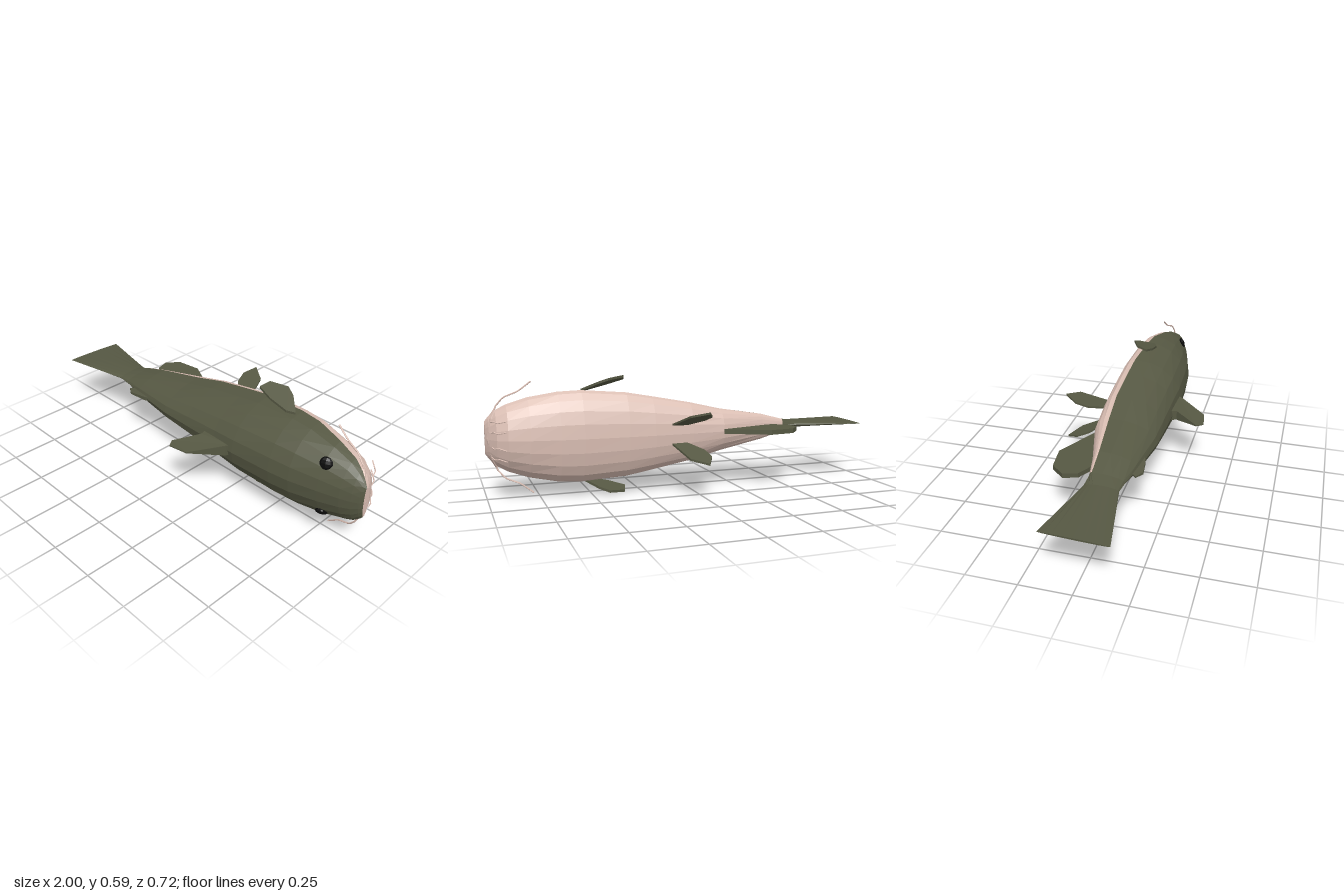
import * as THREE from 'three';

const mat = (name, color) => {
  const m = new THREE.MeshStandardMaterial({ color, flatShading: true });
  m.name = name;
  return m;
};

// Cross-sections along the fish: x, half width, back z, widest z, belly z
const SECTIONS = [
  [-0.99, 0.004, 0.172, 0.01, -0.15],
  [-0.62, 0.018, 0.1, 0.0, -0.07],
  [-0.55, 0.034, 0.108, -0.05, -0.065],
  [-0.42, 0.068, 0.135, -0.055, -0.09],
  [-0.17, 0.11, 0.17, -0.08, -0.16],
  [0.0, 0.15, 0.176, -0.09, -0.17],
  [0.2, 0.187, 0.181, -0.085, -0.175],
  [0.33, 0.21, 0.186, -0.08, -0.173],
  [0.55, 0.226, 0.175, -0.06, -0.165],
  [0.66, 0.221, 0.163, -0.05, -0.155],
  [0.8, 0.196, 0.13, -0.02, -0.132],
  [0.9, 0.163, 0.103, 0.0, -0.108],
  [0.95, 0.135, 0.085, 0.02, -0.075],
  [0.982, 0.102, 0.068, 0.035, -0.025],
  [0.998, 0.08, 0.056, 0.044, 0.015],
];
const SIDES = 20;

function ringPoint([x, w, top, wide, bot], i) {
  const a = (i / SIDES) * Math.PI * 2;
  const c = Math.cos(a);
  const z = wide + c * (c > 0 ? top - wide : wide - bot);
  // the tail edge leans back slightly
  return [x < -0.9 ? x - z * 0.05 : x, w * Math.sin(a), z];
}

function geometryFrom(positions) {
  const g = new THREE.BufferGeometry();
  g.setAttribute('position', new THREE.Float32BufferAttribute(positions, 3));
  g.computeVertexNormals();
  return g;
}

// Loft the sections; the lower half ahead of the tail becomes the belly
function buildBody() {
  const back = [], belly = [];
  for (let s = 0; s < SECTIONS.length - 1; s++) {
    for (let i = 0; i < SIDES; i++) {
      const lower = i >= SIDES / 4 && i < (SIDES * 3) / 4;
      const out = lower && s >= 2 ? belly : back;
      const a = ringPoint(SECTIONS[s], i), b = ringPoint(SECTIONS[s + 1], i);
      const c = ringPoint(SECTIONS[s + 1], i + 1), d = ringPoint(SECTIONS[s], i + 1);
      out.push(...a, ...b, ...c, ...a, ...c, ...d);
    }
  }
  const nose = SECTIONS[SECTIONS.length - 1], tail = SECTIONS[0];
  for (let i = 0; i < SIDES; i++) {
    belly.push(nose[0], 0, nose[3], ...ringPoint(nose, i + 1), ...ringPoint(nose, i));
    back.push(tail[0], 0, tail[3], ...ringPoint(tail, i), ...ringPoint(tail, i + 1));
  }
  return { back: geometryFrom(back), belly: geometryFrom(belly) };
}

// Fin plate outlined in x and z; yAt places it sideways, half gives its half thickness
function finGeometry(outline, yAt, half) {
  const shape = new THREE.Shape(outline.map(([x, z]) => new THREE.Vector2(x, z)));
  const g = new THREE.ExtrudeGeometry(shape, { depth: 2, bevelEnabled: false });
  const p = g.attributes.position;
  for (let i = 0; i < p.count; i++) {
    const x = p.getX(i), z = p.getY(i), side = p.getZ(i) - 1;
    p.setXYZ(i, x, yAt(x, z) - side * half(x, z), z);
  }
  g.computeVertexNormals();
  return g;
}

function strand(points, radius) {
  const path = new THREE.CurvePath();
  const v = points.map((p) => new THREE.Vector3(...p));
  for (let i = 0; i < v.length - 1; i++) path.add(new THREE.LineCurve3(v[i], v[i + 1]));
  return new THREE.TubeGeometry(path, 12, radius, 5, false);
}

export function createModel() {
  const skin = mat('olive skin', 0x565843);
  const pale = mat('pale belly', 0xdcc0b5);
  const black = mat('eye black', 0x0a0a0a);

  const model = new THREE.Group();
  model.name = 'fish';
  const fish = new THREE.Group();
  fish.name = 'fishBody';
  fish.position.y = 0.306;
  model.add(fish);
  const add = (name, geometry, material) => {
    const m = new THREE.Mesh(geometry, material);
    m.name = name;
    fish.add(m);
    return m;
  };

  const body = buildBody();
  add('backAndTail', body.back, skin);
  add('belly', body.belly, pale);

  // Fins on the centre line
  const middle = () => 0;
  add('dorsalFin', finGeometry(
    [[0.31, 0.17], [0.3, 0.195], [0.18, 0.34], [0.08, 0.356], [0.055, 0.32], [0.14, 0.2], [0.13, 0.16]],
    middle, (x, z) => THREE.MathUtils.clamp(0.028 - (z - 0.19) * 0.2, 0.003, 0.028)), skin);
  add('adiposeFin', finGeometry(
    [[-0.3, 0.13], [-0.35, 0.153], [-0.45, 0.167], [-0.49, 0.14], [-0.46, 0.11]],
    middle, (x) => 0.004 + (x + 0.49) * 0.045), skin);
  add('analFin', finGeometry(
    [[-0.17, -0.14], [-0.17, -0.16], [-0.38, -0.272], [-0.51, -0.255], [-0.565, -0.19],
      [-0.545, -0.12], [-0.46, -0.07]],
    middle, () => 0.012), skin);

  // Paired parts, mirrored across the centre line
  for (const s of [1, -1]) {
    const side = s > 0 ? 'upper' : 'lower';
    add(side + 'PelvicFin', finGeometry(
      [[0.12, -0.15], [0.11, -0.18], [0.07, -0.31], [-0.01, -0.362], [-0.045, -0.3], [-0.03, -0.24], [0.05, -0.15]],
      (x, z) => s * (0.05 + (-0.17 - z) * 0.385), () => 0.005), skin);
    add(side + 'PectoralFin', finGeometry(
      [[0.54, -0.02], [0.47, -0.085], [0.42, -0.107], [0.335, -0.07], [0.32, -0.015], [0.4, 0.0], [0.5, 0.0]],
      (x, z) => s * (0.222 + (0.54 - x) * 0.25 + (-0.02 - z) * 0.3), () => 0.006), skin);

    const eye = add(side + 'Eye', new THREE.SphereGeometry(0.031, 8, 6), black);
    eye.scale.set(1, 1, 0.45);
    eye.position.set(0.808, s * 0.134, 0.088);
    eye.lookAt(eye.position.x + 0.25, eye.position.y + s * 0.57, eye.position.z + 0.8);

    add(side + 'LongBarbel', strand(
      [[0.96, s * 0.12, 0.01], [0.945, s * 0.155, 0.012], [0.91, s * 0.197, 0.003], [0.84, s * 0.225, -0.012],
        [0.78, s * 0.272, -0.022]], 0.004), pale);
    for (const y of [0.034, 0.085]) {
      add(side + 'ChinBarbel', strand(
        [[0.972, s * y, -0.035], [0.962, s * (y + 0.006), -0.07], [0.945, s * y, -0.09],
          [0.91, s * (y + 0.01), -0.122]], 0.003), pale);
    }
  }

  // Lips around the mouth
  const lip = (name, x, z) => add(name, strand(
    [[0.945, -0.136, 0.008], [x - 0.015, -0.09, z], [x, 0, z], [x - 0.015, 0.09, z], [0.945, 0.136, 0.008]],
    0.011), pale);
  lip('upperLip', 0.99, 0.036);
  lip('lowerLip', 0.983, -0.008);

  return model;
}
